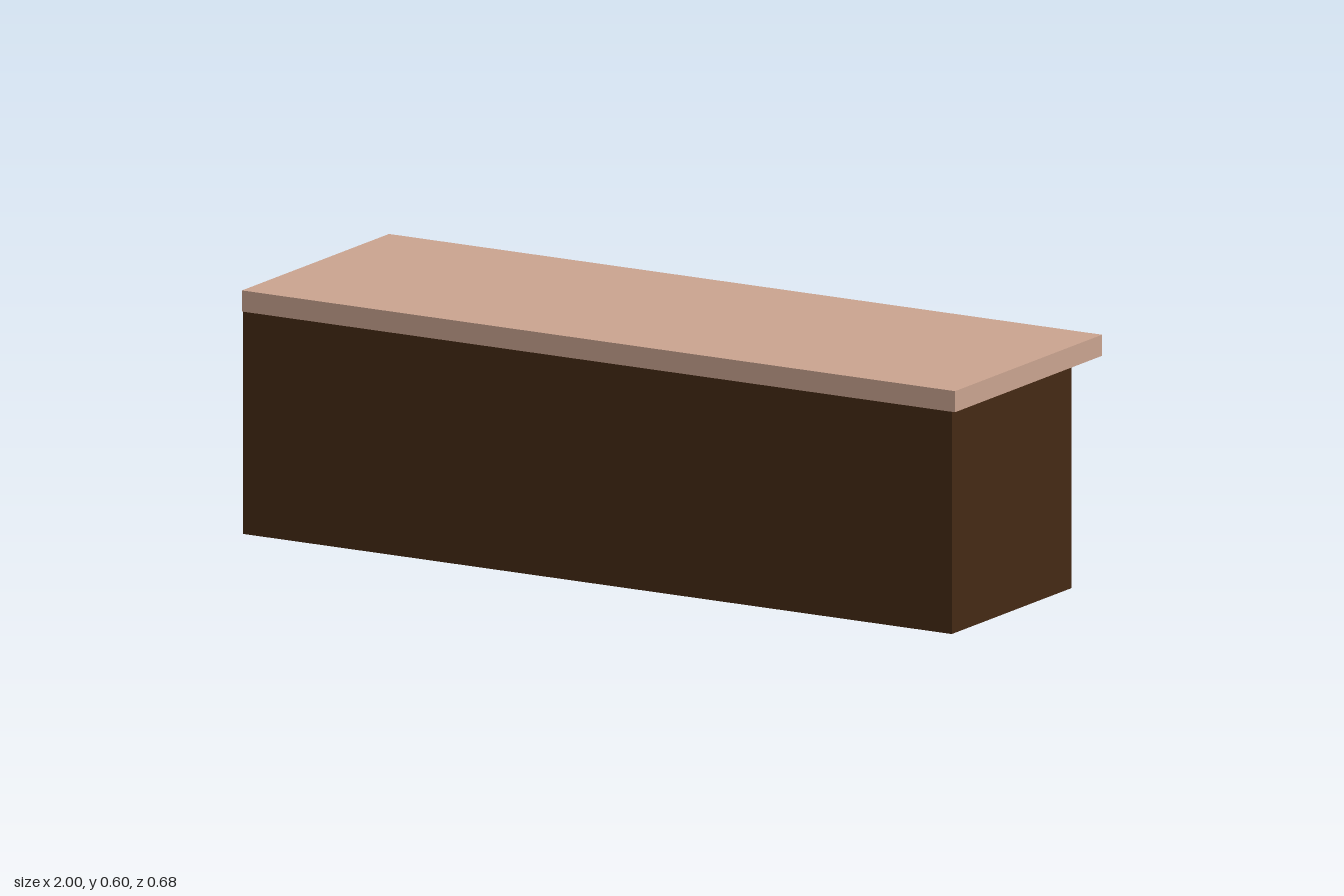
import * as THREE from 'three';

const material = (color) => new THREE.MeshStandardMaterial({ color });

function addMesh(parent, name, geometry, mat, x, y, z) {
  const mesh = new THREE.Mesh(geometry, mat);
  mesh.name = name;
  mesh.position.set(x, y, z);
  parent.add(mesh);
  return mesh;
}

// Door leaf facing +z: rectangular rings lofted from the back edge into a sloped recess
function doorGeometry(w, h, depth) {
  const rings = [
    [w, h, 0],
    [w, h, depth],
    [w - 0.008, h - 0.008, depth],
    [w - 0.034, h - 0.07, depth - 0.025],
  ].map(([a, b, z]) => [[-1, -1], [1, -1], [1, 1], [-1, 1]].map(([i, j]) => [i * a / 2, j * b / 2, z]));
  const points = [];
  const quad = (a, b, c, d) => points.push(...a, ...b, ...c, ...a, ...c, ...d);
  for (let r = 0; r < rings.length - 1; r++) {
    for (let i = 0; i < 4; i++) {
      const k = (i + 1) % 4;
      quad(rings[r][i], rings[r][k], rings[r + 1][k], rings[r + 1][i]);
    }
  }
  quad(...rings[rings.length - 1]);
  quad(...[...rings[0]].reverse());
  const geometry = new THREE.BufferGeometry();
  geometry.setAttribute('position', new THREE.Float32BufferAttribute(points, 3));
  geometry.computeVertexNormals();
  return geometry;
}

// Slim bow handle, standing upright and facing +z
function handleGeometry() {
  const path = new THREE.CatmullRomCurve3([
    new THREE.Vector3(0, -0.046, 0),
    new THREE.Vector3(0, -0.036, 0.013),
    new THREE.Vector3(0, 0, 0.018),
    new THREE.Vector3(0, 0.036, 0.013),
    new THREE.Vector3(0, 0.046, 0),
  ]);
  return new THREE.TubeGeometry(path, 24, 0.005, 8);
}

export function createModel() {
  const model = new THREE.Group();
  model.name = 'counter';
  const wood = material(0x442914);
  const stone = material(0xc9a38f);
  const doorWood = material(0xb87d1c);
  const brass = material(0xa89c70);
  const red = material(0x650a0a);

  // Carcass and overhanging worktop
  addMesh(model, 'cabinetBody', new THREE.BoxGeometry(1.988, 0.548, 0.553), wood, -0.003, 0.274, 0.0635);
  addMesh(model, 'worktop', new THREE.BoxGeometry(2, 0.052, 0.68), stone, 0, 0.574, 0);

  // Four hinged doors along the back
  const doors = new THREE.Group();
  doors.name = 'doors';
  doors.position.set(-0.004, 0, -0.213);
  doors.rotation.y = Math.PI;
  model.add(doors);

  const width = 0.334;
  const leaf = doorGeometry(width, 0.45, 0.037);
  const handle = handleGeometry();
  const hinge = new THREE.CapsuleGeometry(0.012, 0.046, 5, 14);
  for (let i = 0; i < 4; i++) {
    const door = new THREE.Group();
    door.name = 'door';
    door.position.x = (i - 1.5) * 0.4537;
    doors.add(door);
    addMesh(door, 'doorLeaf', leaf, doorWood, 0, 0.277, 0);
    addMesh(door, 'doorHandle', handle, brass, 0.104, 0.282, 0.012);
    for (const y of [0.148, 0.396]) addMesh(door, 'hinge', hinge, red, -width / 2 - 0.004, y, 0);
  }
  return model;
}
